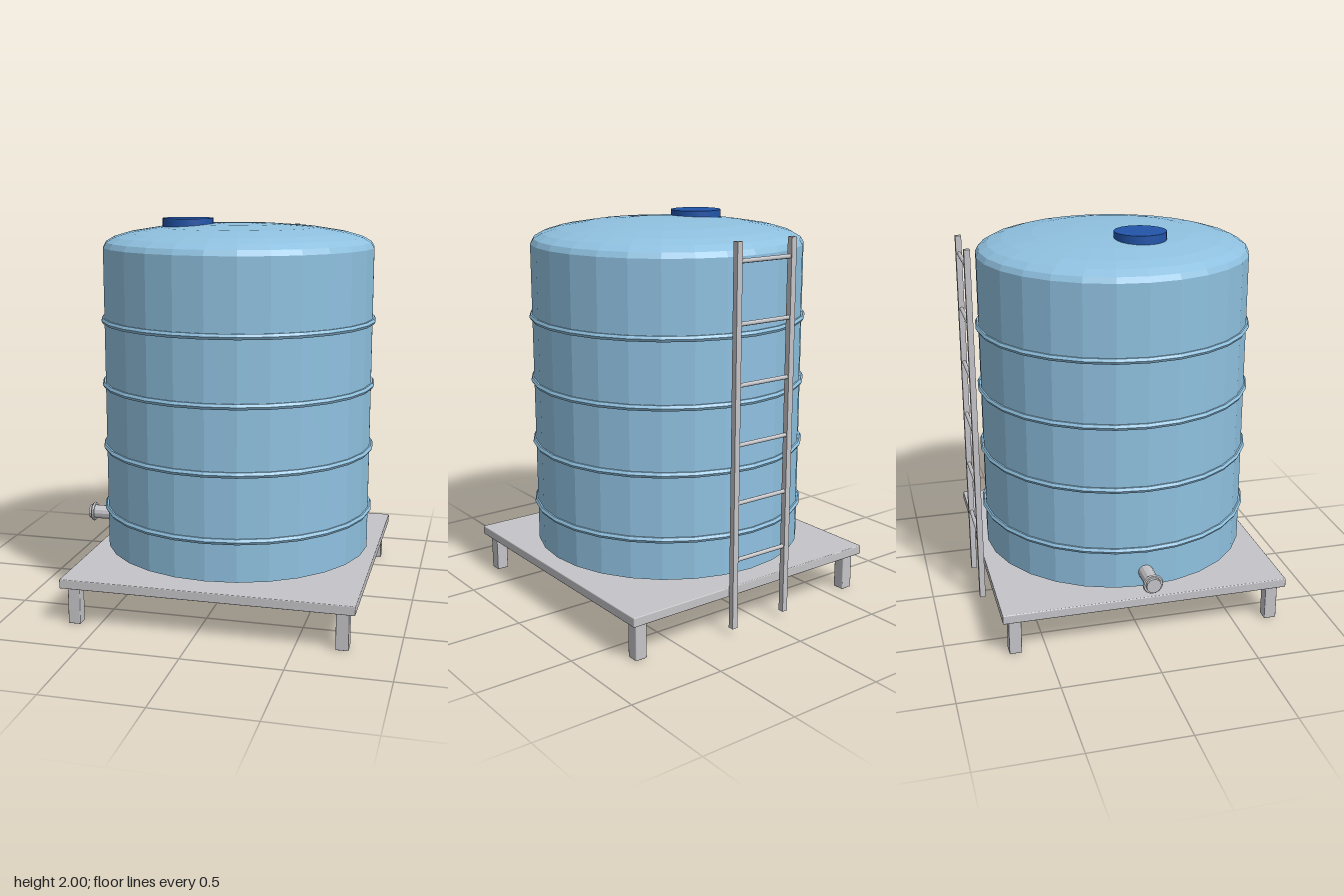
import * as THREE from 'three';
import { RoundedBoxGeometry } from 'three/addons/geometries/RoundedBoxGeometry.js';

const CX = 0.05, CZ = 0.02; // tank and platform axis
const SIDES = 28;

export function createModel() {
  const model = new THREE.Group();
  model.name = 'waterTank';

  const mat = (name, color) => {
    const m = new THREE.MeshStandardMaterial({ color });
    m.name = name;
    return m;
  };
  const blue = mat('tank light blue', 0x8fc1e0);
  const lidBlue = mat('lid dark blue', 0x2255aa);
  const metal = mat('grey metal', 0xc5c5c9);

  const add = (name, geometry, material, x, y, z, parent = model) => {
    const mesh = new THREE.Mesh(geometry, material);
    mesh.name = name;
    mesh.position.set(x, y, z);
    parent.add(mesh);
    return mesh;
  };
  // bake facets into the normals
  const flat = (g) => {
    const n = g.index ? g.toNonIndexed() : g;
    n.computeVertexNormals();
    return n;
  };

  // Tank: flat floor, straight wall, rounded shoulder and shallow dome
  const profile = [
    [0, 0.285], [0.7, 0.285], [0.7, 1.855], [0.685, 1.882], [0.64, 1.908],
    [0.565, 1.93], [0.41, 1.955], [0.21, 1.97], [0, 1.976],
  ].map(([r, y]) => new THREE.Vector2(r, y));
  add('tankBody', flat(new THREE.LatheGeometry(profile, SIDES)), blue, CX, 0, CZ);

  // Reinforcing hoops
  const hoop = flat(new THREE.TorusGeometry(0.7, 0.016, 6, SIDES).rotateX(Math.PI / 2));
  for (let i = 0; i < 4; i++) add('hoop' + (i + 1), hoop, blue, CX, 0.492 + i * 0.331, CZ);

  // Filler lid
  add('lid', new THREE.CylinderGeometry(0.131, 0.131, 0.07, 24), lidBlue, -0.198, 1.965, 0.099);

  // Platform with four legs
  add('platform', new RoundedBoxGeometry(1.484, 0.048, 1.484, 1, 0.005), metal, CX, 0.218, CZ);
  const leg = new RoundedBoxGeometry(0.064, 0.2, 0.064, 1, 0.005);
  for (const sx of [-1, 1]) for (const sz of [-1, 1]) {
    add('leg', leg, metal, CX + sx * 0.678, 0.1, CZ + sz * 0.678);
  }

  // Outlet pipe with a flange ring on the right side
  const outlet = new THREE.Group();
  outlet.name = 'outlet';
  outlet.position.set(0, 0.365, 0.015);
  model.add(outlet);
  const pipe = flat(new THREE.CylinderGeometry(0.038, 0.038, 0.2, 12).rotateZ(Math.PI / 2));
  add('outletPipe', pipe, metal, -0.7, 0, 0, outlet);
  const ring = flat(new THREE.TorusGeometry(0.044, 0.009, 6, 14).rotateY(Math.PI / 2));
  add('outletFlange', ring, metal, -0.778, 0, 0, outlet);

  // Ladder behind the tank
  const ladder = new THREE.Group();
  ladder.name = 'ladder';
  ladder.position.set(CX, 0, -0.745);
  model.add(ladder);
  const rail = new THREE.BoxGeometry(0.03, 1.9, 0.03);
  for (const s of [-1, 1]) add('ladderRail', rail, metal, s * 0.165, 0.986, 0, ladder);
  const rung = new THREE.CylinderGeometry(0.011, 0.011, 0.33, 8).rotateZ(Math.PI / 2);
  for (let i = 0; i < 6; i++) add('ladderRung', rung, metal, 0, 0.39 + i * 0.291, 0, ladder);

  return model;
}
